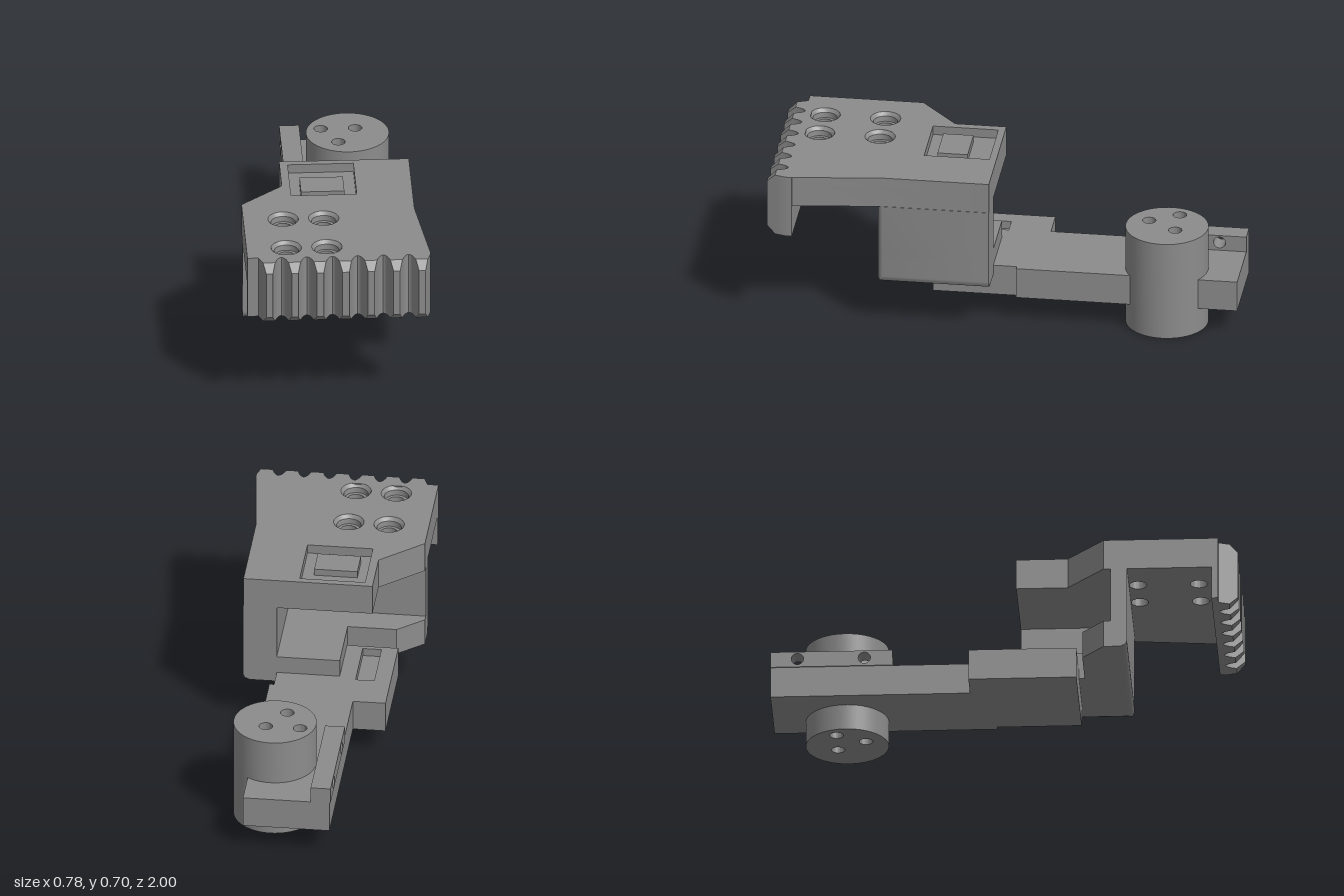
import * as THREE from 'three';
import { toCreasedNormals } from 'three/addons/utils/BufferGeometryUtils.js';

const grey = new THREE.MeshStandardMaterial({ color: 0x8c8c8c });
grey.name = 'plain grey';

const toShape = (pts) => new THREE.Shape(pts.map(([x, z]) => new THREE.Vector2(x, z)));
const rect = (x0, x1, z0, z1) => toShape([[x0, z0], [x1, z0], [x1, z1], [x0, z1]]);
const circle = (x, z, r) => new THREE.Path().absarc(x, z, r, 0, Math.PI * 2);

// upright prism of a plan shape (x, z) between heights y0 and y1
function prism(shape, y0, y1, holes = [], steps = 1) {
  shape.holes.push(...holes);
  const g = new THREE.ExtrudeGeometry(shape, { depth: y1 - y0, steps, bevelEnabled: false, curveSegments: 32 });
  g.rotateX(Math.PI / 2);
  g.translate(0, y1, 0);
  return g;
}

// move every vertex by a rule
function reshape(g, rule) {
  const p = g.attributes.position;
  const v = new THREE.Vector3();
  for (let i = 0; i < p.count; i++) {
    rule(v.fromBufferAttribute(p, i));
    p.setXYZ(i, v.x, v.y, v.z);
  }
  return g;
}

export function createModel() {
  const group = new THREE.Group();
  const add = (name, geo, parent = group) => {
    const mesh = new THREE.Mesh(toCreasedNormals(geo, 0.6), grey);
    mesh.name = name;
    parent.add(mesh);
    return mesh;
  };

  // Top plate: lower layer, and upper layer with the pocket and countersinks
  const plate = [[-0.21, 0.05], [0.343, 0.05], [0.343, 0.5], [0.39, 0.9], [-0.39, 0.9], [-0.39, 0.43], [-0.21, 0.27]];
  const screws = [];
  for (const x of [-0.22, -0.047]) for (const z of [0.57, 0.83]) screws.push([x, z]);
  add('topPlateLower', prism(toShape(plate), 0.57, 0.665, screws.map(([x, z]) => circle(x, z, 0.037))));
  add('topPlateUpper', prism(toShape(plate), 0.665, 0.705,
    [...screws.map(([x, z]) => circle(x, z, 0.065)), rect(-0.175, 0.105, 0.08, 0.36)]));
  add('pocketPad', prism(rect(-0.13, 0.055, 0.18, 0.31), 0.665, 0.695));

  // Countersunk seats, profile ordered so that faces look inward
  for (const [x, z] of screws) {
    const profile = [[0.065, 0.705], [0.052, 0.69], [0.05, 0.666], [0.037, 0.666]];
    const seat = new THREE.LatheGeometry(profile.map(([r, y]) => new THREE.Vector2(r, y)), 32);
    seat.translate(x, 0, z);
    add('screwSeat', seat);
  }

  // Toothed front lip: seven teeth with rounded gullets, tips chamfered at both ends
  const lip = [[-0.39, 0.89], [-0.39, 0.918], [-0.343, 0.918]];
  const pitch = 0.1085;
  const centres = Array.from({ length: 7 }, (_, i) => -0.3 + i * pitch);
  centres.forEach((cx, i) => {
    lip.push([cx - 0.026, 0.962], [cx - 0.014, 1], [cx + 0.014, 1], [cx + 0.026, 0.962]);
    if (i < 6) {
      for (let k = 0; k <= 6; k++) {
        const u = k / 6;
        lip.push([cx + 0.034 + u * (pitch - 0.068), 0.918 + 0.022 * (2 * u - 1) ** 2]);
      }
    }
  });
  lip.push([0.39, 0.918], [0.39, 0.89]);
  const lipGeo = prism(toShape(lip), 0.425, 0.705, [], 8);
  add('toothedLip', reshape(lipGeo, (v) => {
    if (v.z > 0.99 && (v.y < 0.43 || v.y > 0.7)) {
      const cx = centres.find((c) => Math.abs(c - v.x) < 0.03);
      v.x = cx + Math.sign(v.x - cx) * 0.0255;
      v.z = 0.9635;
    }
  }));

  // Body: floor with a corner notch, plus front and side walls, outer edges rounded
  const R = 0.03;
  const X = 0.345;
  const Z = 0.53;
  const corner = [];
  for (let k = 0; k <= 6; k++) {
    const a = (k / 6) * Math.PI / 2;
    corner.push([X - R + R * Math.cos(a), Z - R + R * Math.sin(a)]);
  }
  const roundBottom = (v) => {
    const h = v.y - 0.207;
    if (h < R) {
      const inset = R - Math.sqrt(Math.max(0, R * R - (R - h) ** 2));
      v.x = Math.min(v.x, X - inset);
      v.z = Math.min(v.z, Z - inset);
    }
  };
  const floor = [[-0.07, 0.05], [X, 0.05], ...corner, [-0.39, Z], [-0.39, 0.43], [-0.28, 0.335], [-0.07, 0.335]];
  add('bodyFloor', reshape(prism(toShape(floor), 0.207, 0.327, [], 16), roundBottom));
  const walls = [[0.2, 0.05], [X, 0.05], ...corner, [-0.39, Z], [-0.39, 0.46], [0.2, 0.46]];
  add('bodyWalls', prism(toShape(walls), 0.327, 0.57));

  // Arm, cut around the post, with a shallow slot in its wide end
  const post = [0.12, -0.685];
  const postR = 0.177;
  const half = Math.acos(0.1 / postR);
  const armShape = () => {
    const s = new THREE.Shape();
    s.moveTo(-0.15, -1);
    s.lineTo(0.22, -1);
    s.absarc(post[0], post[1], postR, -half, half, true);
    for (const [x, z] of [[0.22, -0.05], [0.2, -0.05], [0.2, 0.31], [-0.29, 0.31], [-0.29, -0.15], [-0.15, -0.15]]) {
      s.lineTo(x, z);
    }
    return s;
  };
  add('armLower', prism(armShape(), 0.113, 0.215));
  add('armUpper', prism(armShape(), 0.215, 0.25, [rect(-0.22, -0.14, 0.03, 0.29)]));

  // Rail along the arm, with two cross holes
  const rail = toShape([[0.48, 0.25], [1, 0.25], [1, 0.32], [0.48, 0.32]]);
  rail.holes.push(circle(0.885, 0.287, 0.026), circle(0.6, 0.287, 0.026));
  const railGeo = new THREE.ExtrudeGeometry(rail, { depth: 0.085, bevelEnabled: false, curveSegments: 24 });
  railGeo.rotateY(Math.PI / 2);
  railGeo.translate(-0.155, 0, 0);
  add('rail', railGeo);

  // Round post with three through holes
  const disc = new THREE.Shape().absarc(post[0], post[1], postR, 0, Math.PI * 2);
  add('post', prism(disc, 0, 0.447,
    [[0.008, -0.725], [0.155, -0.725], [0.077, -0.603]].map(([x, z]) => circle(x, z, 0.029))));

  return group;
}
